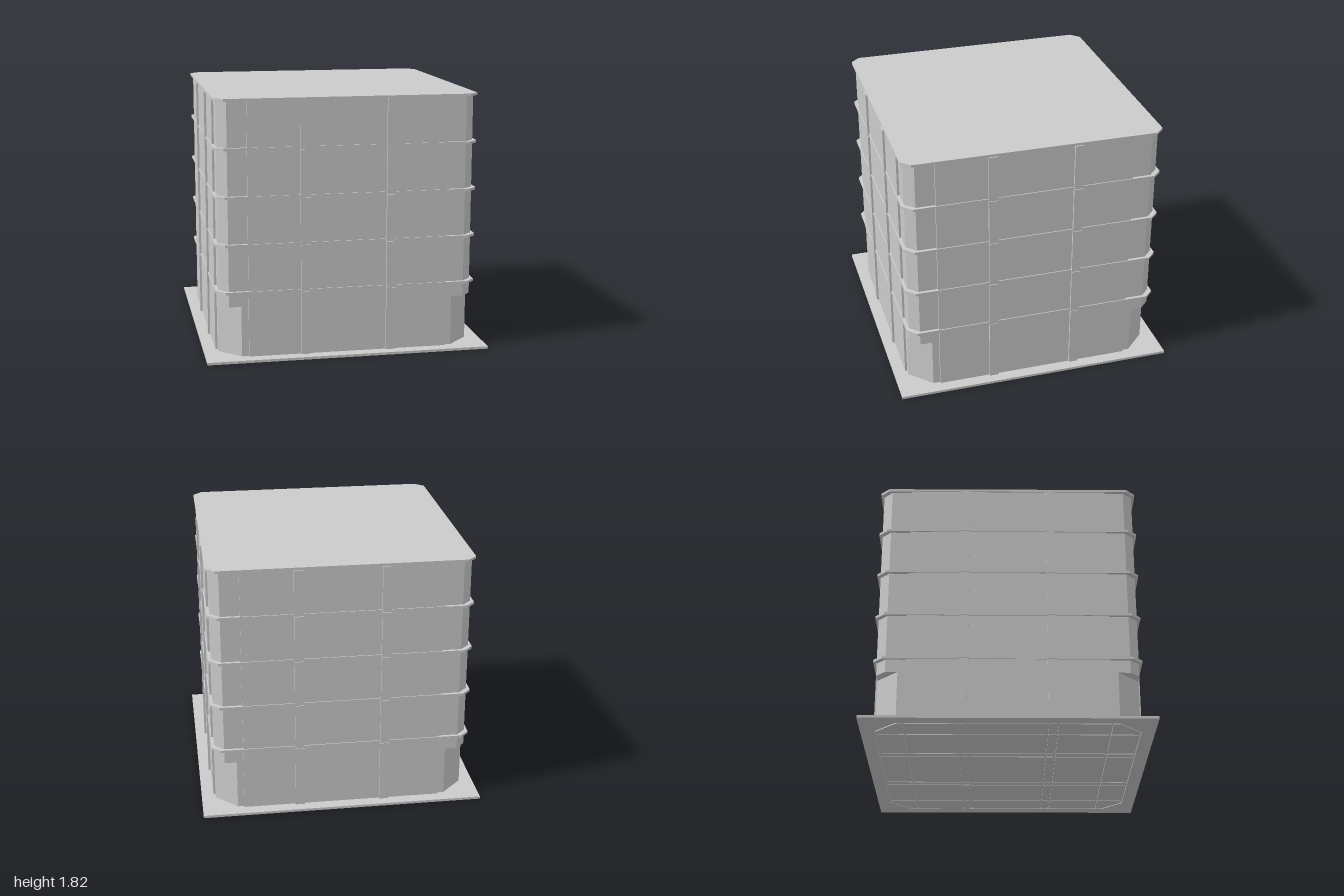
import * as THREE from 'three';

const SLAB = 0.018;      // slab and base thickness
const PITCH = 0.3335;    // storey height
const FLOORS = 5;
const material = new THREE.MeshStandardMaterial({ color: 0xcccccc, flatShading: true });

// square of half-size r whose corners are cut where a face reaches c
function octagon(r, c) {
  return [[c, r], [-c, r], [-r, c], [-r, -c], [-c, -r], [c, -r], [r, -c], [r, c]]
    .map(([x, z]) => new THREE.Vector2(x, z));
}

// horizontal outline raised from y0 to y1
function prism(name, points, y0, y1, holes = []) {
  const shape = new THREE.Shape(points);
  for (const h of holes) shape.holes.push(new THREE.Path(h));
  const geo = new THREE.ExtrudeGeometry(shape, { depth: y1 - y0, bevelEnabled: false });
  geo.rotateX(-Math.PI / 2).translate(0, y0, 0);
  const mesh = new THREE.Mesh(geo, material);
  mesh.name = name;
  return mesh;
}

function box(name, w, h, d, x, y, z) {
  const mesh = new THREE.Mesh(new THREE.BoxGeometry(w, h, d), material);
  mesh.position.set(x, y, z);
  mesh.name = name;
  return mesh;
}

// base plate with narrow grooves below, along the wall and pilaster lines
function createBase() {
  const base = new THREE.Group();
  base.name = 'base';
  const mid = 0.01, g = 0.006;
  const square = [[-1, -1], [1, -1], [1, 1], [-1, 1]].map(([x, z]) => new THREE.Vector2(x, z));
  base.add(prism('groundPlate', square, mid, SLAB));
  base.add(prism('plateRim', square, 0, mid, [octagon(0.905, 0.755)]));

  const lines = [-0.9, -0.7, -0.335, -0.27, 0.27, 0.335, 0.7, 0.9];
  const last = lines.length - 2;
  for (let i = 0; i <= last; i++) {
    for (let j = 0; j <= last; j++) {
      const x0 = lines[i] + g, x1 = lines[i + 1] - g;
      const z0 = lines[j] + g, z1 = lines[j + 1] - g;
      let points = [[x0, z0], [x1, z0], [x1, z1], [x0, z1]];
      // corner tiles follow the chamfered corner
      if ((i === 0 || i === last) && (j === 0 || j === last)) {
        const sx = i ? 1 : -1, sz = j ? 1 : -1;
        const a = 0.7 + g, b = 0.9 - g, c = 0.75;
        points = [[a, a], [b, a], [b, c], [c, b], [a, b]].map(([x, z]) => [x * sx, z * sz]);
      }
      base.add(prism('plateTile', points.map(([x, z]) => new THREE.Vector2(x, z)), 0, mid));
    }
  }
  return base;
}

// one storey: recessed corner core, proud wall panels, pilasters
function createStorey(index) {
  const storey = new THREE.Group();
  storey.name = 'storey' + (index + 1);
  const y0 = SLAB + index * PITCH;
  const y1 = SLAB + (index + 1) * PITCH - SLAB + 0.0145;
  const h = y1 - y0, y = (y0 + y1) / 2;

  // the ground storey has deeper cut corners at the entrances
  if (index === 0) return createGroundStorey(storey);
  storey.add(prism('cornerCore', octagon(0.9, 0.835), y0 + 0.1185, y1 + 0.1185));
  addFacades(storey, y + 0.1185, h);
  return storey;
}

function createGroundStorey(storey) {
  const top = 0.467;
  storey.add(prism('entranceCore', octagon(0.9, 0.75), SLAB, 0.375));
  storey.add(prism('cornerCore', octagon(0.9, 0.835), 0.375, top));
  addFacades(storey, (SLAB + top) / 2, top - SLAB);
  return storey;
}

// wall panel and two pilasters on each of the four sides
function addFacades(storey, y, h) {
  for (let k = 0; k < 4; k++) {
    const side = new THREE.Group();
    side.name = 'facade';
    side.add(box('wallPanel', 1.4, h, 0.065, 0, y, 0.8825));
    for (const x of [-0.3025, 0.3025]) {
      side.add(box('pilaster', 0.065, h, 0.05, x, y, 0.905));
    }
    side.rotation.y = k * Math.PI / 2;
    storey.add(side);
  }
}

export function createModel() {
  const model = new THREE.Group();
  model.name = 'building';
  model.add(createBase());
  for (let i = 0; i < FLOORS; i++) {
    model.add(createStorey(i));
    // projecting slab closing each storey
    const y = 0.467 + i * PITCH;
    model.add(prism(i === FLOORS - 1 ? 'roofSlab' : 'floorSlab', octagon(0.922, 0.858), y, y + SLAB));
  }
  return model;
}
